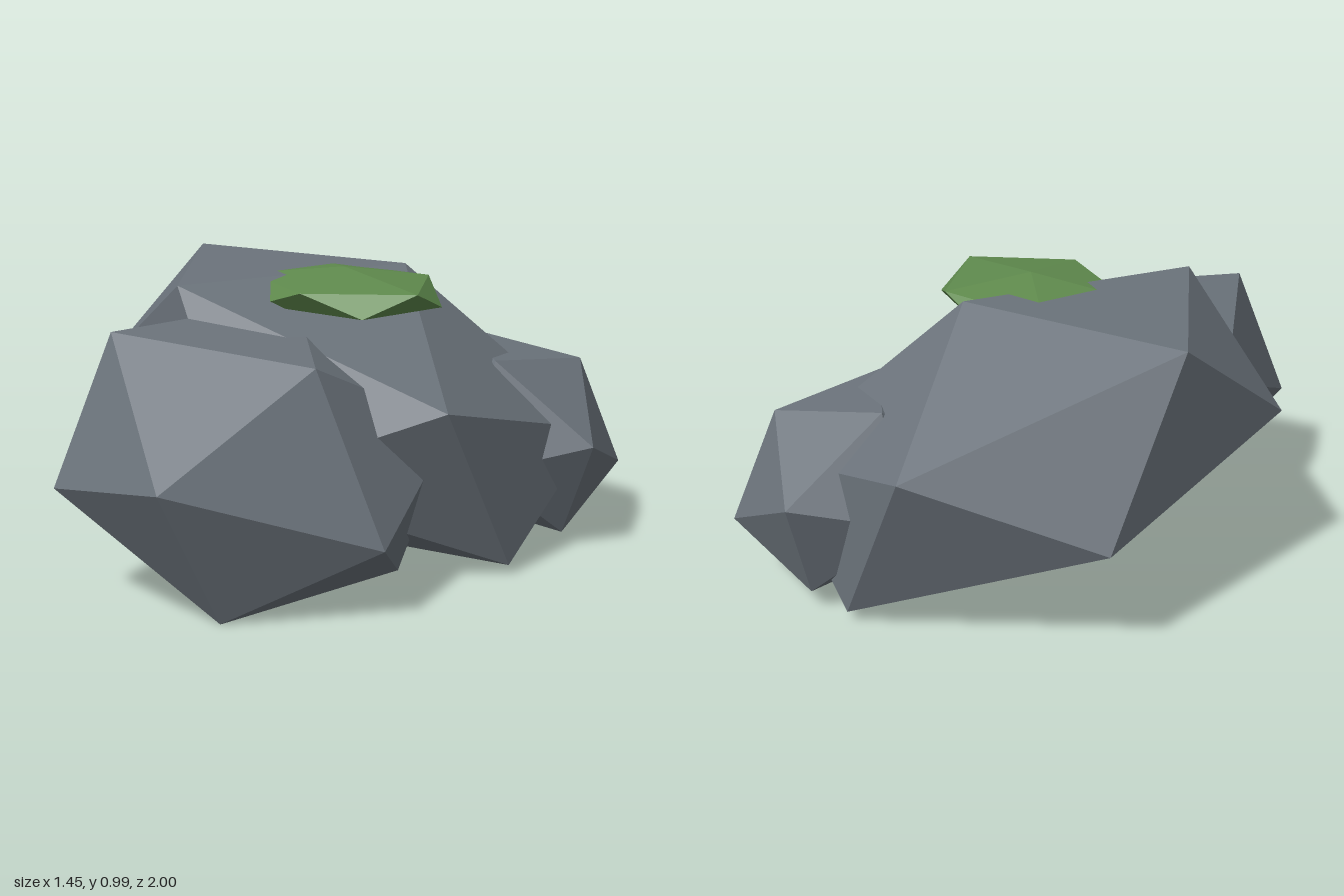
import * as THREE from 'three';

const T = (1 + Math.sqrt(5)) / 2;

// Maps one corner-face of a regular icosahedron onto three given offsets from
// the centre, which stretches and tilts the whole solid into a faceted stone.
function stone(name, material, centre, a, b, c) {
  const regular = new THREE.Matrix4().makeBasis(
    new THREE.Vector3(-1, T, 0), new THREE.Vector3(0, 1, T), new THREE.Vector3(1, T, 0));
  const target = new THREE.Matrix4().makeBasis(
    new THREE.Vector3(...a), new THREE.Vector3(...b), new THREE.Vector3(...c));
  const geometry = new THREE.IcosahedronGeometry(Math.hypot(1, T), 0);
  geometry.applyMatrix4(target.multiply(regular.invert()));
  geometry.computeVertexNormals();
  const mesh = new THREE.Mesh(geometry, material);
  mesh.name = name;
  mesh.position.set(...centre);
  return mesh;
}

export function createModel() {
  const rock = new THREE.MeshStandardMaterial({ color: 0x6b737b, flatShading: true });
  rock.name = 'rock grey';
  const moss = new THREE.MeshStandardMaterial({ color: 0x5f8a4d, flatShading: true });
  moss.name = 'moss green';

  const group = new THREE.Group();
  group.name = 'mossyRocks';
  group.add(
    // large boulder with a nearly level top
    stone('mainBoulder', rock, [-0.02, 0.502, -0.155],
      [-0.65, 0.465, 0.145], [-0.04, 0.46, 0.675], [0.12, 0.466, -0.145]),
    // medium boulder leaning on the front
    stone('frontBoulder', rock, [0.196, 0.437, 0.392],
      [-0.196, 0.423, 0.418], [0.264, 0.033, 0.568], [0.284, 0.333, -0.002]),
    // small boulder at the back
    stone('backBoulder', rock, [0.285, 0.37, -0.655],
      [0.125, 0.25, -0.185], [0.395, 0.02, 0.025], [0.195, -0.13, -0.325]),
    // flattened moss cushion, pole up, sunk into the top
    stone('mossPatch', moss, [0.14, 0.918, 0],
      [0, 0.077, 0], [0.111, 0.0344, 0.27], [0.36, 0.0344, 0]),
  );
  return group;
}
